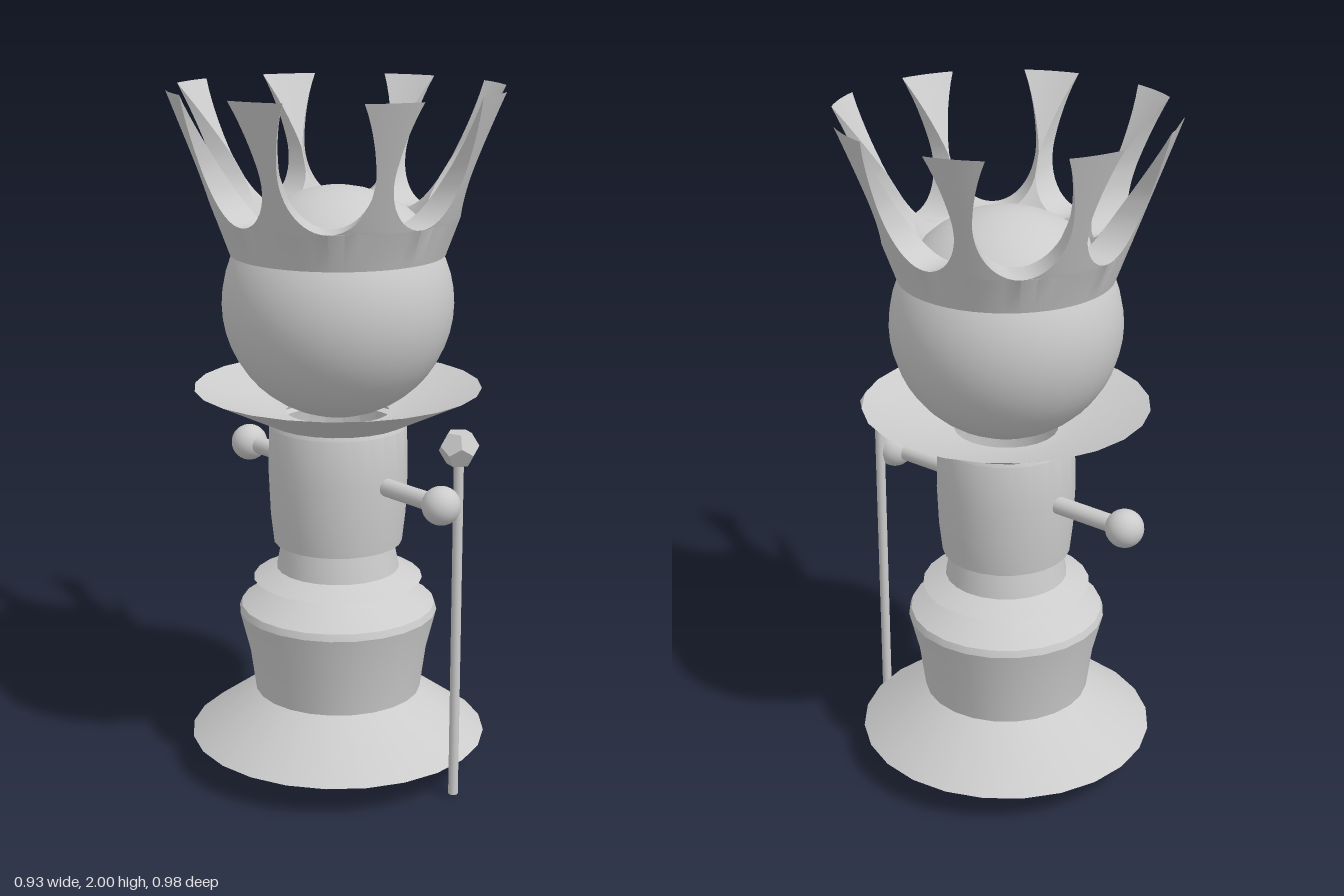
import * as THREE from 'three';
import { toCreasedNormals } from 'three/addons/utils/BufferGeometryUtils.js';

const material = new THREE.MeshStandardMaterial({ color: 0xcccccc, side: THREE.DoubleSide });

function add(parent, name, geometry, x = 0, y = 0, z = 0) {
  const mesh = new THREE.Mesh(geometry, material);
  mesh.name = name;
  mesh.position.set(x, y, z);
  parent.add(mesh);
  return mesh;
}

function turned(profile) {
  const points = profile.map(([r, y]) => new THREE.Vector2(r, y));
  return toCreasedNormals(new THREE.LatheGeometry(points, 24), 0.5);
}

// Tapering crown wall, thin at the top, with eight oval scallops cut through it
function crownGeometry() {
  const count = 8, half = Math.PI / count, across = 6;
  const bottom = 1.54, middle = 1.82, top = 2;
  const outer = y => 0.305 + (y - bottom) / (top - bottom) * 0.17;
  const inner = y => 0.24 + (y - 1.645) / 0.355 * 0.235;

  // Each row is a height and the half width of the scallop there
  const rows = [[bottom, 0]];
  for (let i = 0; i <= 12; i++) {
    const t = i / 12 * Math.PI / 2;
    rows.push([middle - 0.175 * Math.cos(t), 0.13 * Math.sin(t)]);
  }
  for (let i = 1; i <= 6; i++) {
    const h = i / 6 * (top - middle);
    rows.push([middle + h, 0.13 * Math.sqrt(1 - (h / 0.3) ** 2)]);
  }

  const positions = [], indices = [], ring = 2 * (across + 1);
  for (let k = 0; k < count; k++) {
    const start = positions.length / 3;
    for (const [y, w] of rows) {
      for (let i = 0; i < ring; i++) {
        const isOuter = i <= across;
        const r = isOuter ? outer(y) : inner(y);
        const u = isOuter ? i / across : (ring - 1 - i) / across;
        const span = half - Math.min(Math.asin(w / r), half - 0.004);
        const a = (2 * k + 1) * half + (2 * u - 1) * span;
        positions.push(r * Math.sin(a), y, r * Math.cos(a));
      }
    }
    for (let j = 0; j < rows.length - 1; j++) {
      for (let i = 0; i < ring; i++) {
        // The band below the scallops has no side walls
        if (j === 0 && (i === across || i === ring - 1)) continue;
        const n = (i + 1) % ring;
        const a = start + j * ring + i, b = start + j * ring + n;
        indices.push(a, b, b + ring, a, b + ring, a + ring);
      }
    }
  }
  const geometry = new THREE.BufferGeometry();
  geometry.setAttribute('position', new THREE.Float32BufferAttribute(positions, 3));
  geometry.setIndex(indices);
  return toCreasedNormals(geometry, 0.6);
}

export function createModel() {
  const model = new THREE.Group();
  model.name = 'crownedChessFigure';

  // Turned figure
  const figure = new THREE.Group();
  figure.name = 'figure';
  figure.position.z = -0.005;
  model.add(figure);
  add(figure, 'base', turned([
    [0, 0.005], [0.23, 0.005], [0.437, 0.097], [0.245, 0.235], [0.262, 0.36],
    [0.292, 0.48], [0.285, 0.5], [0.175, 0.56], [0, 0.56],
  ]));
  add(figure, 'waistRing', turned([
    [0.17, 0.56], [0.248, 0.578], [0.18, 0.61], [0.165, 0.69],
  ]));
  add(figure, 'torso', turned([
    [0.16, 0.69], [0.188, 0.692], [0.198, 0.78], [0.203, 0.9], [0.2, 1.04], [0.18, 1.08],
  ]));
  add(figure, 'collar', turned([
    [0.17, 1.045], [0.2, 1.052], [0.413, 1.155], [0.2, 1.085], [0.15, 1.08],
  ]));
  add(figure, 'head', new THREE.SphereGeometry(0.33, 32, 24), 0, 1.4, 0);
  add(figure, 'crown', crownGeometry());

  // Arms with ball hands, reaching forwards and backwards
  for (const [side, reach] of [['front', 0.42], ['back', -0.435]]) {
    const arm = new THREE.CylinderGeometry(0.026, 0.026, 0.3, 16);
    arm.rotateX(Math.PI / 2);
    add(model, side + 'Arm', arm, 0.01, 0.892, reach - Math.sign(reach) * 0.15);
    add(model, side + 'Hand', new THREE.SphereGeometry(0.055, 24, 16), 0.01, 0.892, reach);
  }

  // Staff with a faceted knob
  const staff = new THREE.Group();
  staff.name = 'staff';
  staff.position.set(0.062, 0, 0.433);
  model.add(staff);
  add(staff, 'staffRod', new THREE.CylinderGeometry(0.014, 0.014, 1.01, 16), 0, 0.52, 0);
  const knob = add(staff, 'staffKnob', new THREE.DodecahedronGeometry(0.057), 0, 1.05, 0);
  knob.rotation.x = 0.5536;

  return model;
}
